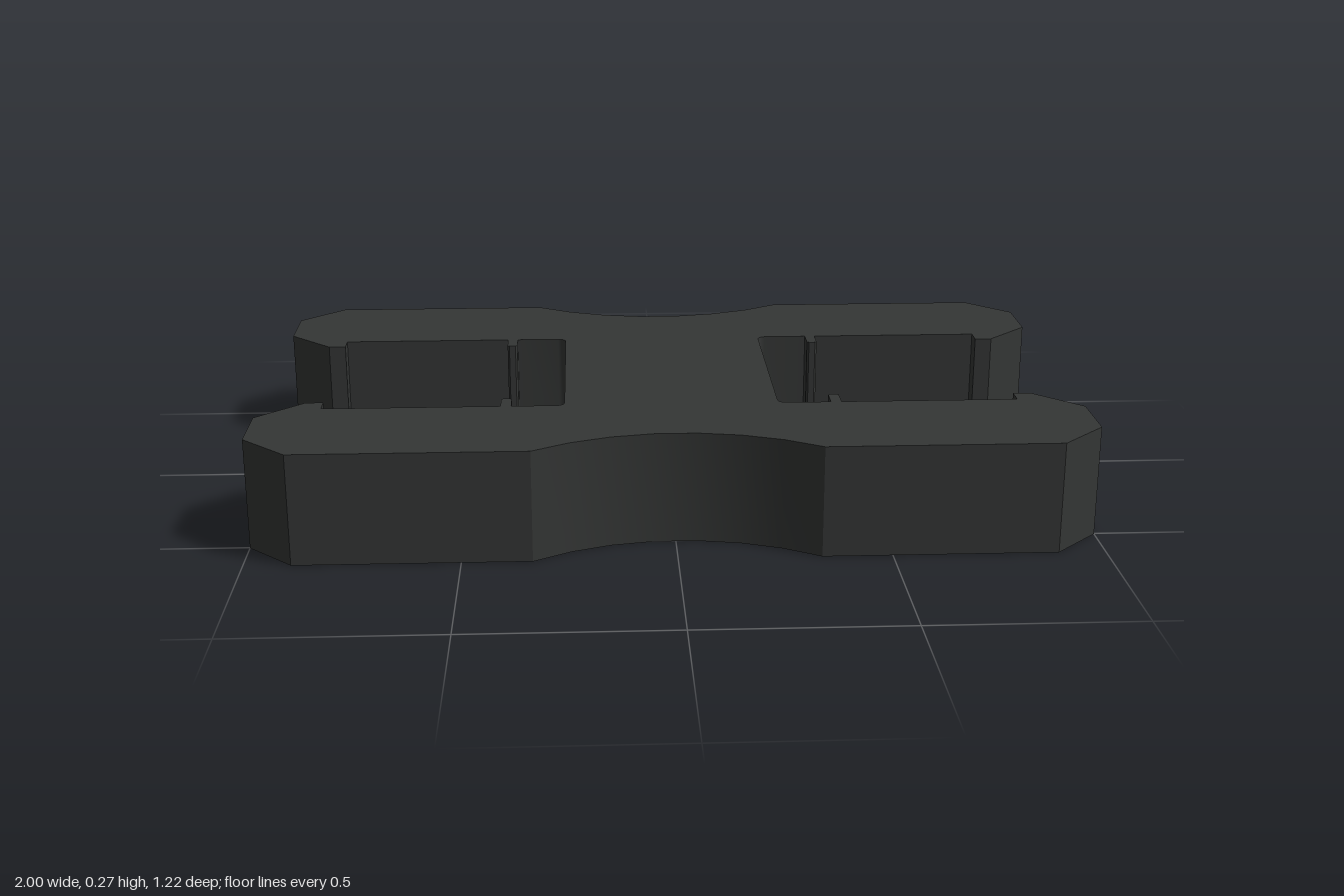
import * as THREE from 'three';
import { toCreasedNormals } from 'three/addons/utils/BufferGeometryUtils.js';

const HEIGHT = 0.27;

// Points on an arc, from angle a0 to a1 in degrees
function arc(cx, cz, r, a0, a1, segments) {
  return Array.from({ length: segments + 1 }, (_, i) => {
    const a = THREE.MathUtils.degToRad(a0 + ((a1 - a0) * i) / segments);
    return [cx + r * Math.cos(a), cz + r * Math.sin(a)];
  });
}

// One quarter of the outline, from the web out along the jaw and back to the waist
function quarterOutline() {
  return [
    // pocket corner fillet
    ...arc(0.28, 0.265, 0.02, 180, 90, 4),
    // thin stop rib
    [0.389, 0.285], [0.389, 0.231], [0.394, 0.226],
    [0.41, 0.226], [0.415, 0.231], [0.415, 0.285],
    // hooked, chamfered jaw tip
    [0.847, 0.285], [0.847, 0.238], [0.89, 0.238],
    [1, 0.347], [1, 0.503], [0.89, 0.612],
    // scooped waist, half of a seven-sided arc
    ...arc(0, 1.067, 0.565, -53.6, -84.8, 3),
  ];
}

export function createModel() {
  const group = new THREE.Group();
  group.name = 'gapGauge';

  // Mirror the quarter into a closed H-shaped outline
  const quarter = quarterOutline();
  const reversed = [...quarter].reverse();
  const mirror = (points, sx, sz) => points.map(([x, z]) => new THREE.Vector2(x * sx, z * sz));
  const shape = new THREE.Shape([
    ...mirror(quarter, 1, 1),
    ...mirror(reversed, -1, 1),
    ...mirror(quarter, -1, -1),
    ...mirror(reversed, 1, -1),
  ]);

  // Extrude and lay flat on the ground
  const geometry = new THREE.ExtrudeGeometry(shape, { depth: HEIGHT, bevelEnabled: false });
  geometry.rotateX(Math.PI / 2).translate(0, HEIGHT, 0);

  const body = new THREE.Mesh(
    toCreasedNormals(geometry, 0.45),
    new THREE.MeshStandardMaterial({ color: 0x343635 })
  );
  body.name = 'gaugeBody';
  group.add(body);
  return group;
}
